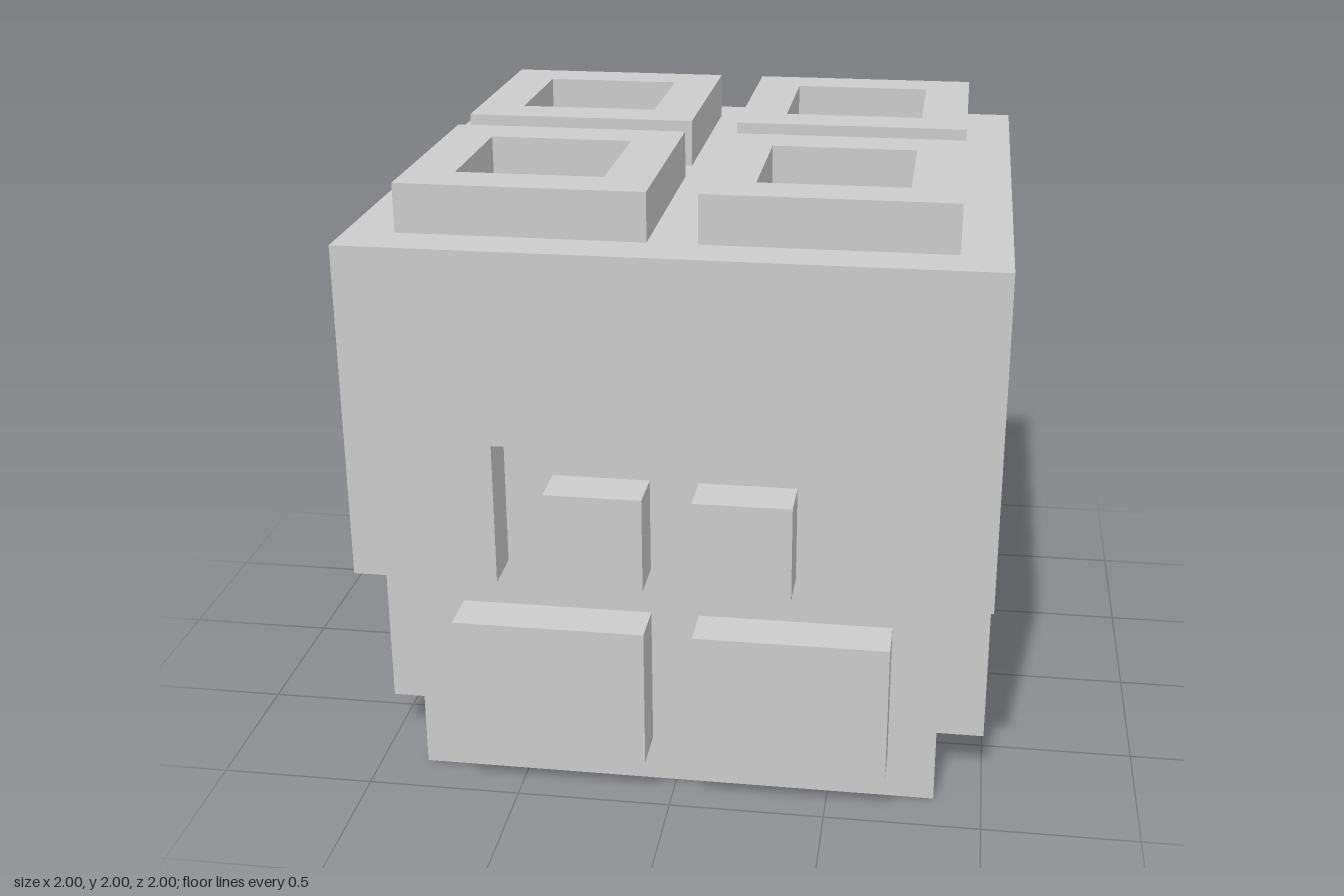
import * as THREE from 'three';

const CELL = 2 / 13; // the model follows a 13-cell grid; all sizes below are in cells

export function createModel() {
  const model = new THREE.Group();
  const body = new THREE.Group();
  body.name = 'blockBody';
  body.scale.setScalar(CELL);
  model.add(body);
  const material = new THREE.MeshStandardMaterial({ color: 0xcccccc, flatShading: true });

  const add = (parent, name, geometry, x = 0, y = 0, z = 0) => {
    const mesh = new THREE.Mesh(geometry, material);
    mesh.name = name;
    mesh.position.set(x, y, z);
    parent.add(mesh);
  };
  const square = (cx, cy, half, Type = THREE.Shape) => new Type([
    new THREE.Vector2(cx - half, cy - half), new THREE.Vector2(cx + half, cy - half),
    new THREE.Vector2(cx + half, cy + half), new THREE.Vector2(cx - half, cy + half),
  ]);
  const extrude = (shape, depth) =>
    new THREE.ExtrudeGeometry(shape, { depth, bevelEnabled: false });
  const flat = (shape, depth) => extrude(shape, depth).rotateX(-Math.PI / 2);

  // Central column, its top forming the floor of the four sockets
  add(body, 'core', new THREE.BoxGeometry(11, 11, 11), 0, 5.5, 0);

  // Roof slab pierced by the sockets, with a raised square rim around each
  const roof = square(0, 0, 5.5);
  for (const x of [-3, 3]) {
    for (const z of [-3, 3]) {
      roof.holes.push(square(x, z, 1.5, THREE.Path));
      const rim = square(0, 0, 2.5);
      rim.holes.push(square(0, 0, 1.5, THREE.Path));
      add(body, 'socketRim', flat(rim, 1), x, 12, z);
    }
  }
  add(body, 'roof', flat(roof, 1), 0, 11, 0);

  // Notched overhanging wall; four of them interlock around the core
  const wall = new THREE.Shape([
    [-6.5, 5], [-3.5, 5], [-3.5, 8], [3.5, 8], [3.5, 5], [5.5, 5], [5.5, 12], [-6.5, 12],
  ].map(([x, y]) => new THREE.Vector2(x, y)));

  for (let i = 0; i < 4; i++) {
    const side = new THREE.Group();
    side.name = ['frontSide', 'leftSide', 'backSide', 'rightSide'][i];
    side.rotation.y = i * Math.PI / 2;
    add(side, 'overhangWall', extrude(wall, 1), 0, 0, 5.5);
    // Small upper blocks inside the notch and wide lower panels
    for (const s of [-1, 1]) {
      add(side, 'upperBlock', new THREE.BoxGeometry(2, 2, 1), s * 1.5, 6, 6);
      add(side, 'lowerPanel', new THREE.BoxGeometry(4, 3, 1), s * 2.5, 2.5, 6);
    }
    body.add(side);
  }
  return model;
}
